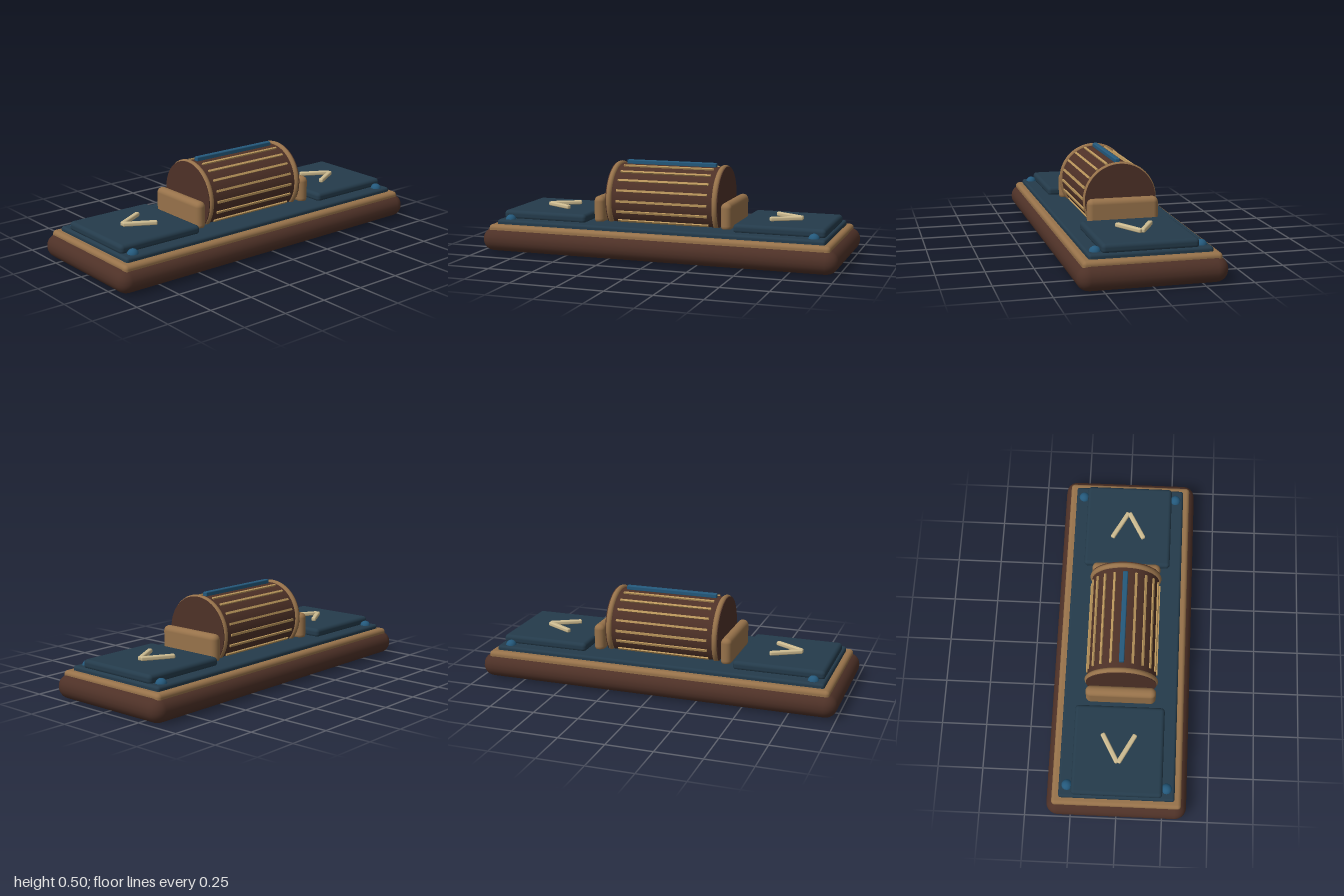
import * as THREE from 'three';
import { RoundedBoxGeometry } from 'three/addons/geometries/RoundedBoxGeometry.js';

function material(name, color) {
  const m = new THREE.MeshStandardMaterial({ color });
  m.name = name;
  return m;
}

export function createModel() {
  const model = new THREE.Group();
  model.name = 'drumConsole';

  const brown = material('darkWood', 0x4e3127);
  const tan = material('tanTrim', 0x97724a);
  const navy = material('navyPanel', 0x243b4b);
  const blue = material('blueAccent', 0x24597c);
  const gold = material('goldSlat', 0xb8945a);
  const cream = material('creamMarker', 0xcdbb90);

  function add(parent, name, geometry, mat, x = 0, y = 0, z = 0) {
    const mesh = new THREE.Mesh(geometry, mat);
    mesh.name = name;
    mesh.position.set(x, y, z);
    parent.add(mesh);
    return mesh;
  }
  // Rounded slab placed by its bottom and top heights
  function slab(name, w, y0, y1, d, r, mat, x = 0) {
    return add(model, name, new RoundedBoxGeometry(w, y1 - y0, d, 3, r), mat, x, (y0 + y1) / 2);
  }

  // Stepped base
  slab('base', 2, 0, 0.13, 0.76, 0.064, brown);
  slab('trim', 1.92, 0.1, 0.149, 0.7, 0.02, tan);
  slab('deck', 1.85, 0.13, 0.173, 0.626, 0.014, navy);

  const studGeo = new THREE.SphereGeometry(0.03, 16, 8, 0, Math.PI * 2, 0, Math.PI / 2);
  for (const s of [-1, 1]) {
    // End pad, drum bracket and corner studs
    slab('pad', 0.494, 0.165, 0.216, 0.49, 0.02, navy, s * 0.667);
    slab('bracket', 0.06, 0.16, 0.314, 0.384, 0.029, tan, s * 0.364);
    for (const t of [-1, 1]) {
      add(model, 'stud', studGeo, blue, s * 0.86, 0.168, t * 0.268);
      // Arrow marker arm
      const arm = add(model, 'arrowArm', new RoundedBoxGeometry(0.182, 0.024, 0.026, 2, 0.008),
        cream, s * 0.662, 0.226, t * 0.046);
      arm.rotation.y = s * t * 0.505;
    }
  }

  // Drum lying along x
  const drum = new THREE.Group();
  drum.name = 'drum';
  drum.position.y = 0.293;
  model.add(drum);

  add(drum, 'drumBody', new THREE.CylinderGeometry(0.187, 0.187, 0.62, 64), brown).rotation.z = Math.PI / 2;
  for (const s of [-1, 1]) {
    add(drum, 'rim', new THREE.TorusGeometry(0.184, 0.016, 12, 64), tan, s * 0.302).rotation.y = Math.PI / 2;
    add(drum, 'endDisc', new THREE.CylinderGeometry(0.192, 0.192, 0.02, 64), brown, s * 0.31).rotation.z = Math.PI / 2;
  }

  // Slats every 18 degrees, with a blue pointer strip at the top
  const slatGeo = new THREE.BoxGeometry(0.52, 0.014, 0.012);
  for (let i = 1; i < 20; i++) {
    const a = (i / 20) * Math.PI * 2;
    add(drum, 'slat', slatGeo, gold, 0, Math.cos(a) * 0.188, Math.sin(a) * 0.188).rotation.x = a;
  }
  add(drum, 'pointerStrip', new RoundedBoxGeometry(0.52, 0.026, 0.028, 2, 0.006), blue, 0, 0.196);

  return model;
}
